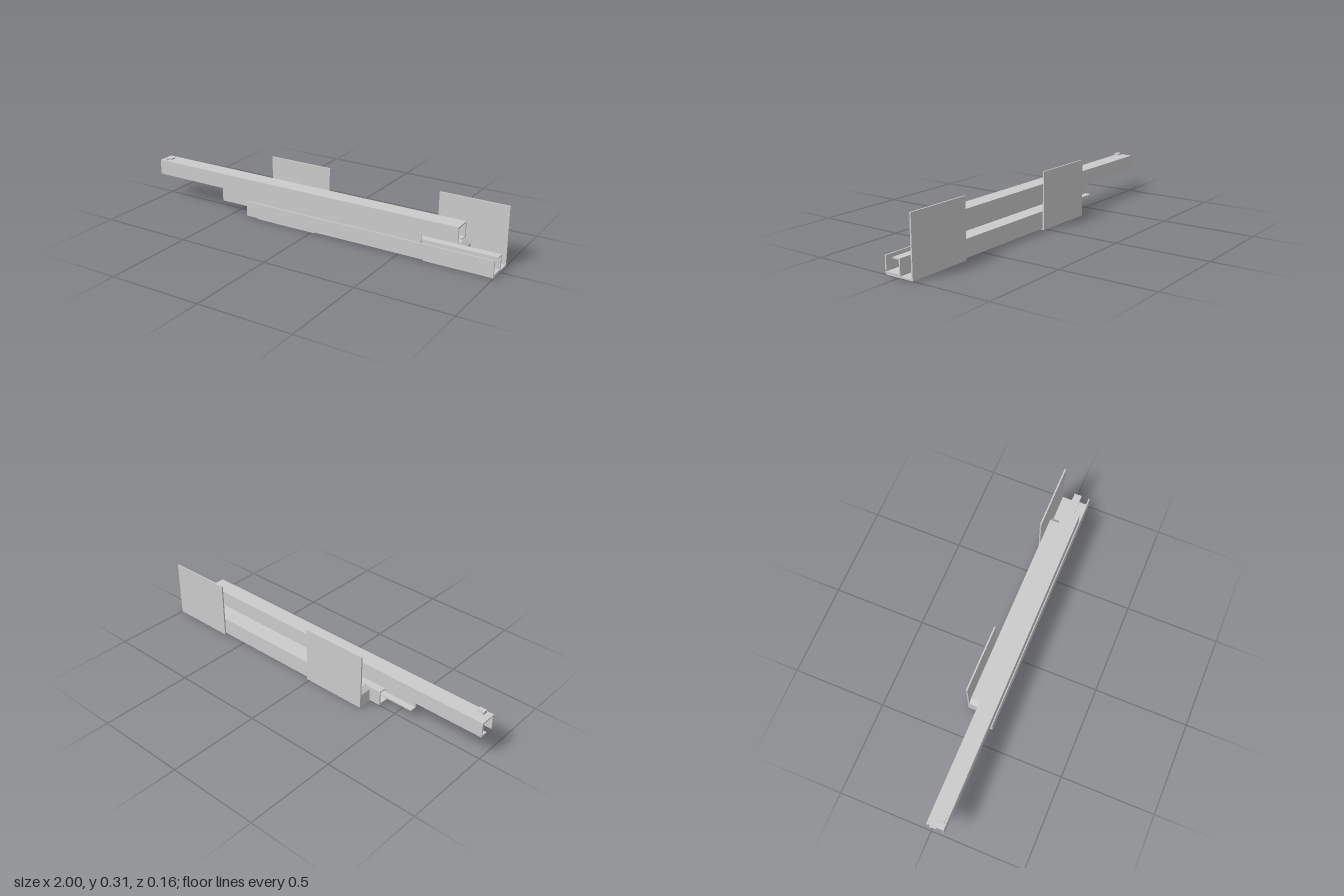
import * as THREE from 'three';

const material = new THREE.MeshStandardMaterial({ color: 0xcccccc, flatShading: true });

function shapeOf(points) {
  return new THREE.Shape(points.map(([a, b]) => new THREE.Vector2(a, b)));
}

// Extrude a [z, y] section along the x axis from x0 to x1
function rail(name, section, x0, x1) {
  const shape = shapeOf(section.map(([z, y]) => [-z, y]));
  const geometry = new THREE.ExtrudeGeometry(shape, { depth: x1 - x0, bevelEnabled: false });
  geometry.rotateY(Math.PI / 2).translate(x0, 0, 0);
  const mesh = new THREE.Mesh(geometry, material);
  mesh.name = name;
  return mesh;
}

// Extrude an [x, y] side outline from z0 to z1
function slab(name, outline, z0, z1) {
  const geometry = new THREE.ExtrudeGeometry(shapeOf(outline), { depth: z1 - z0, bevelEnabled: false });
  geometry.translate(0, 0, z0);
  const mesh = new THREE.Mesh(geometry, material);
  mesh.name = name;
  return mesh;
}

export function createModel() {
  const group = new THREE.Group();
  group.name = 'slideRailAssembly';

  // Upper channel, open below with an inward lip at the back
  group.add(rail('upperRail', [
    [0.082, 0.134], [0.082, 0.216], [-0.008, 0.216], [-0.008, 0.134], [0.034, 0.134],
    [0.034, 0.141], [-0.001, 0.141], [-0.001, 0.209], [0.075, 0.209], [0.075, 0.134],
  ], -1, 0.815));

  // Middle C-shaped slider
  group.add(rail('middleSlider', [
    [0.016, 0.175], [0.057, 0.175], [0.057, 0.05], [0.016, 0.05],
    [0.016, 0.057], [0.05, 0.057], [0.05, 0.168], [0.016, 0.168],
  ], -0.585, 0.613));

  // Lower channel, open above with an inward lip at the back
  group.add(rail('lowerRail', [
    [0.082, 0.09], [0.082, 0.008], [-0.008, 0.008], [-0.008, 0.09], [0.034, 0.09],
    [0.034, 0.083], [-0.001, 0.083], [-0.001, 0.016], [0.075, 0.016], [0.075, 0.09],
  ], -0.407, 1));

  // Two L-shaped mounting brackets
  for (const [name, x0] of [['rightBracket', -0.342], ['leftBracket', 0.64]]) {
    group.add(rail(name, [
      [0.077, 0], [0.077, 0.008], [-0.073, 0.008], [-0.073, 0.308], [-0.081, 0.308], [-0.081, 0],
    ], x0, x0 + 0.36));
  }

  // Support bar behind the lower rail, with sloped top ends
  group.add(slab('supportBar', [
    [-0.342, 0.008], [0.815, 0.008], [0.815, 0.076], [0.79, 0.1], [-0.317, 0.1], [-0.342, 0.076],
  ], -0.073, -0.008));

  // Small bent catch on top of the upper rail
  group.add(slab('catchTab', [
    [-0.967, 0.216], [-0.96, 0.216], [-0.96, 0.224], [-0.93, 0.224], [-0.93, 0.231], [-0.967, 0.231],
  ], 0.043, 0.072));

  return group;
}
